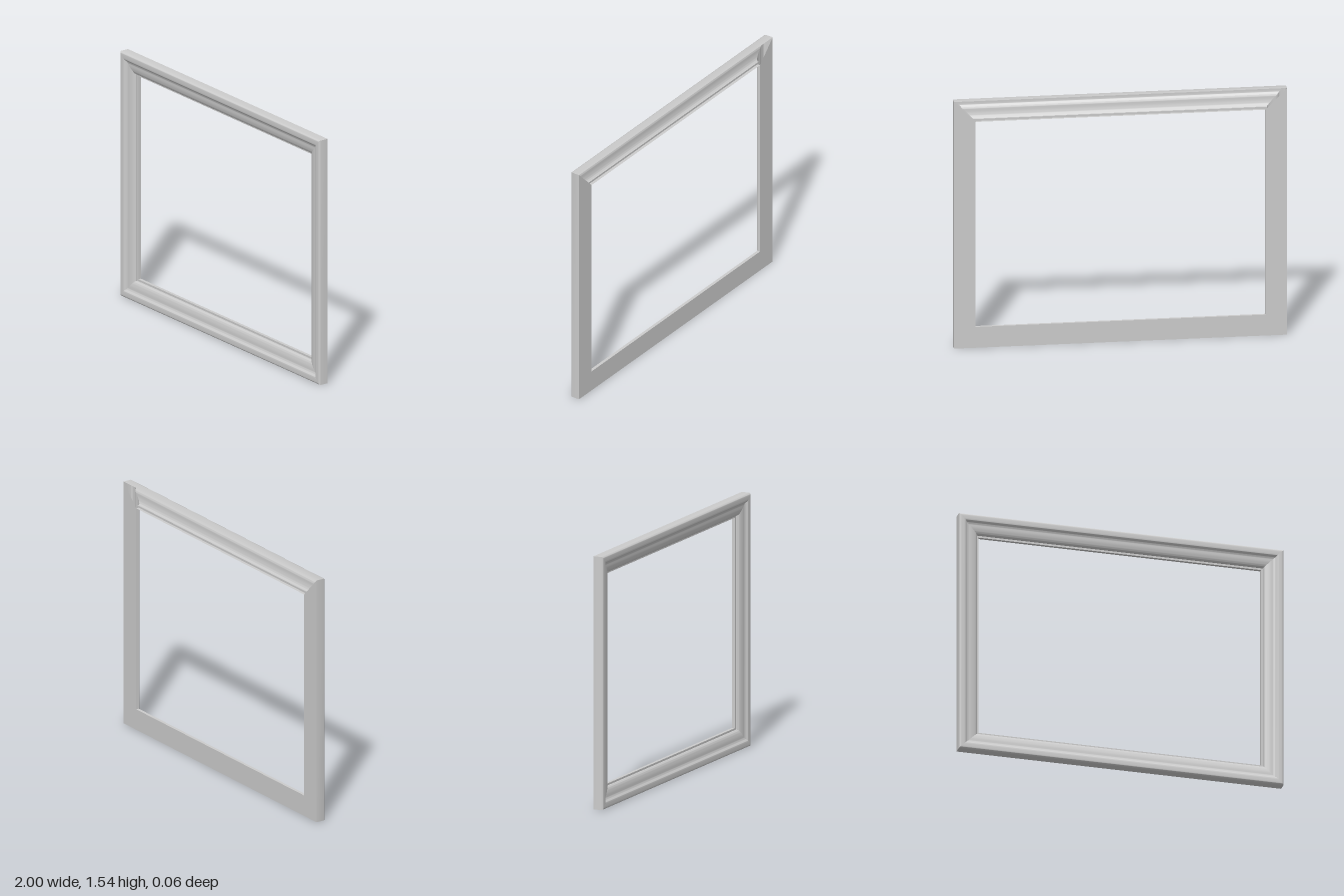
import * as THREE from 'three';
import { toCreasedNormals } from 'three/addons/utils/BufferGeometryUtils.js';

const HALF_W = 1, HALF_H = 0.77;

// Moulding section as [inset from the outer edge, z], outer back to inner back
function mouldingProfile() {
  const crown = new THREE.SplineCurve([
    [0, 0.021], [0.003, 0.027], [0.01, 0.03], [0.034, 0.03], [0.044, 0.027],
    [0.051, 0.019], [0.059, 0.016], [0.08, 0.0145], [0.1, 0.01], [0.112, 0.004], [0.118, -0.003],
  ].map(([d, z]) => new THREE.Vector2(d, z))).getPoints(40);
  const at = (d, z) => new THREE.Vector2(d, z);
  return [at(0, -0.031), ...crown, at(0.118, -0.012), at(0.13, -0.012), at(0.13, -0.031)];
}

// One mitred rail along x; its outer edge lies at y = reach
function railGeometry(profile, halfLength, reach, closedBack) {
  const section = closedBack ? [...profile, profile[0]] : profile;
  const positions = [];
  const index = [];
  section.forEach((p, i) => {
    const end = halfLength - p.x;
    positions.push(-end, reach - p.x, p.y, end, reach - p.x, p.y);
    if (i > 0) {
      const a = 2 * (i - 1), b = 2 * i;
      index.push(a, b, b + 1, a, b + 1, a + 1);
    }
  });
  const geometry = new THREE.BufferGeometry();
  geometry.setAttribute('position', new THREE.Float32BufferAttribute(positions, 3));
  geometry.setIndex(index);
  return toCreasedNormals(geometry, 0.6);
}

export function createModel() {
  const group = new THREE.Group();
  group.name = 'pictureFrame';
  const material = new THREE.MeshStandardMaterial({ color: 0xcccccc, side: THREE.DoubleSide });
  const profile = mouldingProfile();

  // Four rails, turned a quarter each; the top one is hollow and open at the back
  ['topRail', 'rightRail', 'bottomRail', 'leftRail'].forEach((name, k) => {
    const upright = k % 2 === 1;
    const geometry = railGeometry(
      profile, upright ? HALF_H : HALF_W, upright ? HALF_W : HALF_H, name !== 'topRail');
    const rail = new THREE.Mesh(geometry, material);
    rail.name = name;
    rail.rotation.z = k * Math.PI / 2;
    rail.position.y = HALF_H;
    group.add(rail);
  });
  return group;
}
